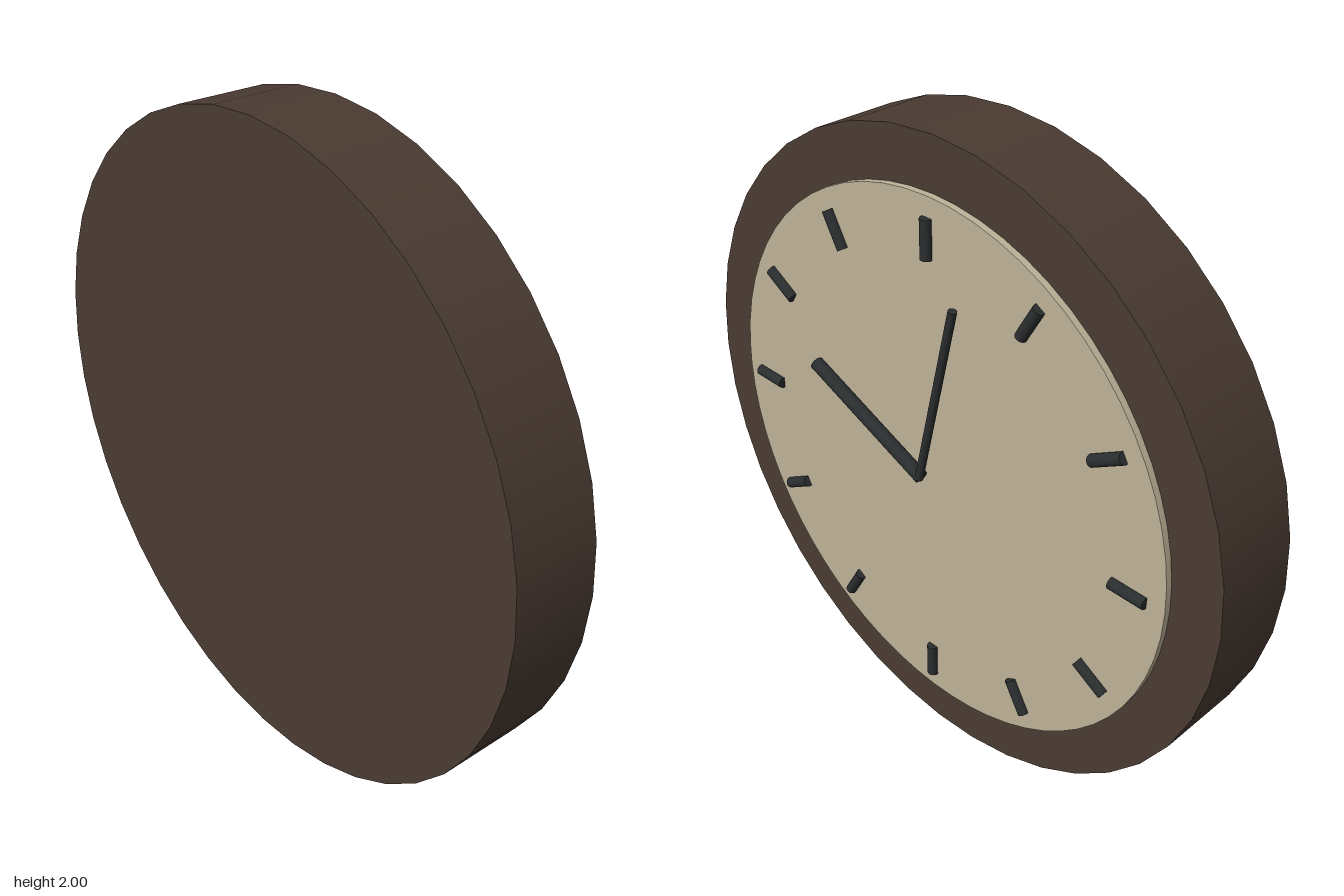
import * as THREE from 'three';

export function createModel() {
  const clock = new THREE.Group();
  clock.name = 'wallClock';

  const material = (name, color) => {
    const m = new THREE.MeshStandardMaterial({ color });
    m.name = name;
    return m;
  };
  const brown = material('darkBrown', 0x4a3b32);
  const cream = material('cream', 0xbfb399);
  const black = material('charcoal', 0x2a2d2e);

  // Disc lying across the z axis between two depths
  const addDisc = (name, radius, z0, z1, segments, mat) => {
    const geometry = new THREE.CylinderGeometry(radius, radius, z1 - z0, segments);
    geometry.rotateX(Math.PI / 2);
    const mesh = new THREE.Mesh(geometry, mat);
    mesh.name = name;
    mesh.position.set(0, 1, (z0 + z1) / 2);
    clock.add(mesh);
  };

  // Round rod pointing outward from the dial centre; angle runs from 12 o'clock towards +x
  const addRod = (name, radius, inner, outer, angle, z) => {
    const geometry = new THREE.CylinderGeometry(radius, radius, outer - inner, 20);
    geometry.translate(0, (inner + outer) / 2, 0);
    const mesh = new THREE.Mesh(geometry, black);
    mesh.name = name;
    mesh.position.set(0, 1, z);
    mesh.rotation.z = -angle;
    clock.add(mesh);
  };

  // Case and dial (the dial faces -z)
  addDisc('case', 1, -0.097, 0.176, 40, brown);
  addDisc('dial', 0.845, -0.117, -0.09, 64, cream);

  // Hour markers, half sunk into the dial
  for (let i = 0; i < 12; i++) {
    addRod('hourMarker' + (i + 1), 0.0175, 0.673, 0.787, (i * Math.PI) / 6, -0.1215);
  }

  // Hands
  addRod('hourHand', 0.021, 0, 0.486, Math.atan2(0.45, 0.185), -0.155);
  addRod('minuteHand', 0.0125, 0, 0.608, Math.atan2(-0.139, 1.592 - 1), -0.1635);

  return clock;
}
